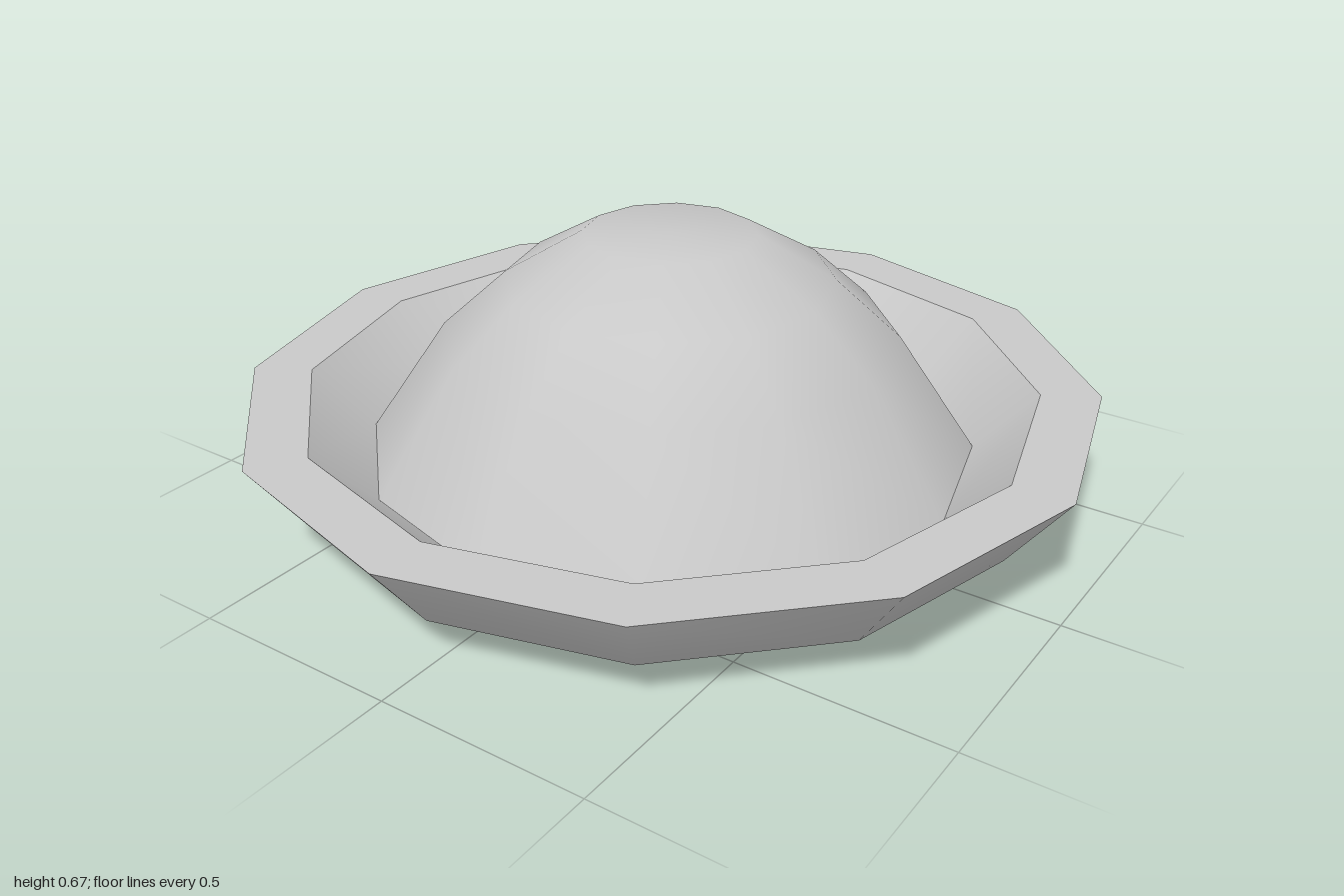
import * as THREE from 'three';

// Profiles run [radius, height] along the surface, from the foot outwards and up to the crown.
const PROFILES = {
  outerBowl: [[0, 0], [0.63, 0], [0.86, 0.11], [1, 0.295]],
  rim: [[1, 0.295], [0.86, 0.295]],
  innerBowl: [[0.86, 0.295], [0.715, 0.155]],
  dome: [[0.715, 0.155], [0.53, 0.43], [0.38, 0.565], [0.2, 0.67], [0, 0.67]],
};
const SIDES = 12;

export function createModel() {
  const group = new THREE.Group();
  group.name = 'domedDish';
  const grey = new THREE.MeshStandardMaterial({ color: 0xc8c8c8 });
  grey.name = 'light grey';

  // Each part is smooth in itself and meets its neighbours at a sharp edge.
  for (const [name, points] of Object.entries(PROFILES)) {
    const profile = points.map(([r, y]) => new THREE.Vector2(r, y));
    const mesh = new THREE.Mesh(new THREE.LatheGeometry(profile, SIDES), grey);
    mesh.name = name;
    group.add(mesh);
  }
  return group;
}
